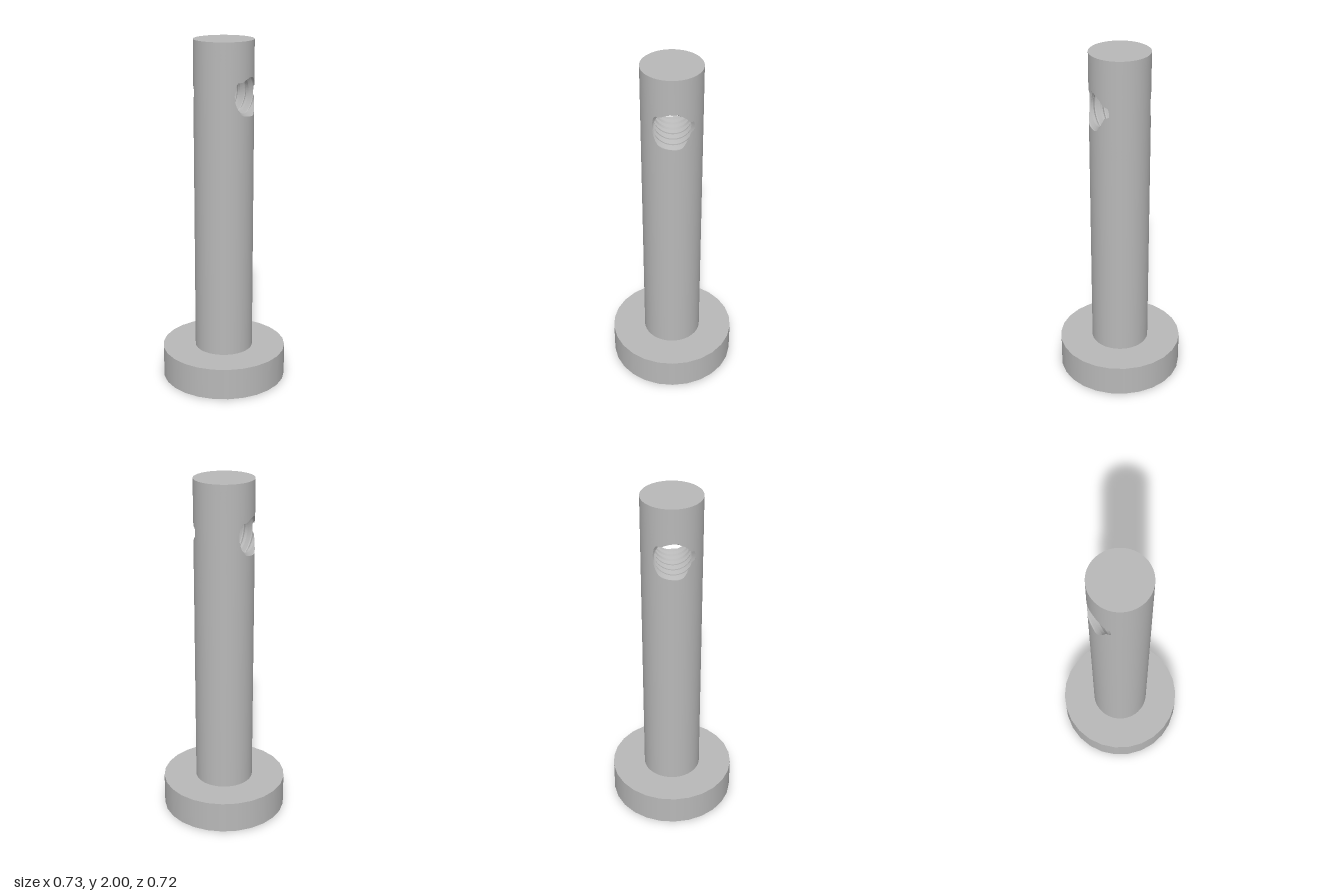
import * as THREE from 'three';
import { toCreasedNormals } from 'three/addons/utils/BufferGeometryUtils.js';

const R = 0.169;                 // shaft radius
const SEG = 52;                  // shaft sides
const HOLE_Y = 1.7;              // height of the cross hole
const HALF = Math.PI * R / 2;    // half height of the wall patch around the hole
const BASE = 0.185, TOP = 2;
const PITCH = 0.0533, MINOR = 0.1, DEPTH = 0.019;
const AROUND = 104;

// Grid surface from a function of two integers; the front faces along du x dv
function surface(nu, nv, point) {
  const pos = [], index = [];
  for (let j = 0; j <= nv; j++)
    for (let i = 0; i <= nu; i++) pos.push(...point(i, j));
  for (let j = 0; j < nv; j++)
    for (let i = 0; i < nu; i++) {
      const a = j * (nu + 1) + i, b = a + 1, d = a + nu + 1, c = d + 1;
      index.push(a, b, d, b, c, d);
    }
  const g = new THREE.BufferGeometry();
  g.setAttribute('position', new THREE.Float32BufferAttribute(pos, 3));
  g.setIndex(index);
  g.computeVertexNormals();
  return g;
}

// Thread radius at an angle and distance along the hole: flat crests, V grooves
function threadRadius(phi, x) {
  let t = x / PITCH + phi / (2 * Math.PI) - 0.75;
  t -= Math.round(t);
  return MINOR + DEPTH * THREE.MathUtils.clamp((0.375 - Math.abs(t)) / 0.3125, 0, 1);
}

// Where the threaded hole breaks through the round wall
function mouthX(phi) {
  let lo = 0.08, hi = R + 0.001;
  for (let k = 0; k < 30; k++) {
    const x = (lo + hi) / 2;
    const z = threadRadius(phi, x) * Math.cos(phi);
    if (x * x + z * z < R * R) lo = x; else hi = x;
  }
  return lo;
}

// Half of the threaded bore, its rows following the helix
function boreGeometry() {
  const breaks = [0.0625, 0.375, 0.6875, 0.8125];
  const rows = [0];
  for (let k = 0; k < 5; k++) for (const b of breaks) rows.push(k + b);
  const g = surface(AROUND, rows.length - 1, (i, j) => {
    const phi = i / AROUND * 2 * Math.PI;
    const x = THREE.MathUtils.clamp((rows[j] - phi / (2 * Math.PI)) * PITCH, 0, mouthX(phi));
    const r = threadRadius(phi, x);
    return [x, HOLE_Y + r * Math.sin(phi), r * Math.cos(phi)];
  });
  return toCreasedNormals(g, Math.PI / 7);
}

// Half of the shaft wall around the hole: from the mouth out to a square, wrapped on the shaft
function wallGeometry() {
  const side = AROUND / 4, rings = 8;
  const g = surface(AROUND, rings, (i, j) => {
    const phi = i / AROUND * 2 * Math.PI;
    const r = threadRadius(phi, mouthX(phi));
    const inner = [R * Math.asin(r * Math.cos(phi) / R), r * Math.sin(phi)];
    const m = (i + side / 2) % AROUND, k = Math.floor(m / side);
    const s = (m % side) / side * 2 - 1;
    const outer = [[1, s], [-s, 1], [-1, -s], [s, -1]][k];
    const f = j / rings;
    const a = THREE.MathUtils.lerp(inner[0], outer[0] * HALF, f) / R;
    const y = THREE.MathUtils.lerp(inner[1], outer[1] * HALF, f);
    return [R * Math.cos(a), HOLE_Y + y, R * Math.sin(a)];
  });
  // smooth radial normals
  const p = g.attributes.position, n = g.attributes.normal;
  for (let i = 0; i < p.count; i++) n.setXYZ(i, p.getX(i) / R, 0, p.getZ(i) / R);
  return g;
}

export function createModel() {
  const model = new THREE.Group();
  model.name = 'crossDrilledPin';
  const steel = new THREE.MeshStandardMaterial({ color: 0xb8b8b8 });
  steel.name = 'grey steel';

  const add = (name, geometry, y = 0) => {
    const mesh = new THREE.Mesh(geometry, steel);
    mesh.name = name;
    mesh.position.y = y;
    model.add(mesh);
    return mesh;
  };

  // Round head at the bottom
  add('head', new THREE.CylinderGeometry(0.363, 0.363, BASE, 26, 1, false, Math.PI / 2), BASE / 2);

  // Plain shaft below and above the hole
  for (const [name, y0, y1] of [['lowerShaft', BASE, HOLE_Y - HALF], ['upperShaft', HOLE_Y + HALF, TOP]])
    add(name, new THREE.CylinderGeometry(R, R, y1 - y0, SEG, 1, true), (y0 + y1) / 2);
  add('shaftEnd', new THREE.CircleGeometry(R, SEG).rotateX(-Math.PI / 2), TOP);

  // Drilled wall and threaded bore, repeated by a half turn
  const wall = wallGeometry(), bore = boreGeometry();
  for (const [name, turn] of [['left', 0], ['right', Math.PI]]) {
    add(name + 'DrilledWall', wall).rotation.y = turn;
    add(name + 'ThreadedBore', bore).rotation.y = turn;
  }
  return model;
}
